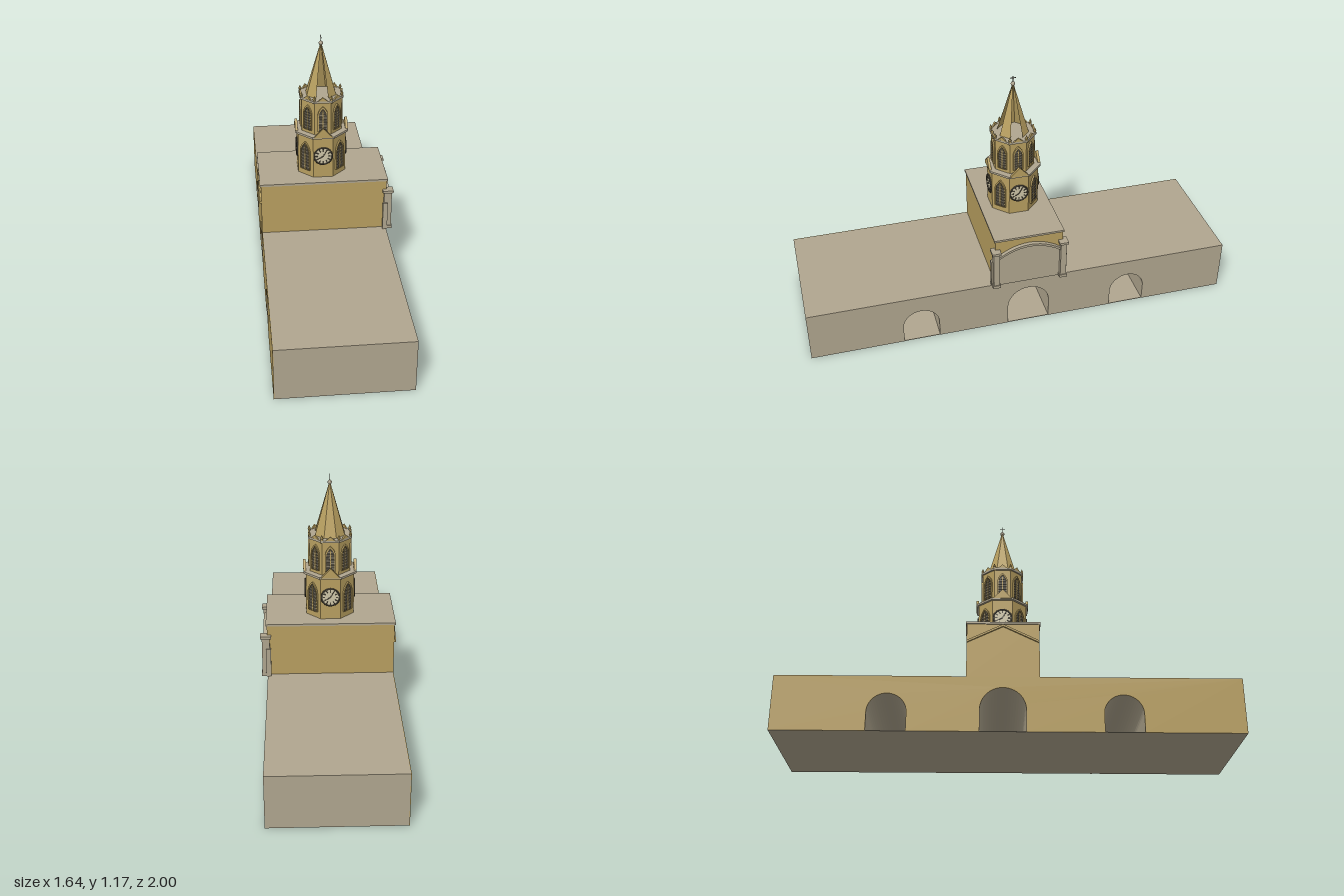
import * as THREE from 'three';

const mat = (name, color, side = THREE.FrontSide) => {
  const m = new THREE.MeshStandardMaterial({ color, side, flatShading: true });
  m.name = name;
  return m;
};

export function createModel() {
  const stone = mat('stone', 0xb0a68f);
  const ochre = mat('ochre', 0xb89f60, THREE.DoubleSide);
  const dark = mat('darkOpening', 0x4d473a);
  const slat = mat('louvreGrey', 0x857d6b);
  const pale = mat('dialPale', 0xcfc6a8);

  const root = new THREE.Group();
  root.name = 'clockTowerBuilding';
  const building = new THREE.Group();
  building.name = 'building';
  building.rotation.y = THREE.MathUtils.degToRad(55);
  root.add(building);

  const add = (parent, name, geo, material, x = 0, y = 0, z = 0) => {
    const m = new THREE.Mesh(geo, material);
    m.name = name;
    m.position.set(x, y, z);
    parent.add(m);
    return m;
  };
  const box = (w, h, d) => new THREE.BoxGeometry(w, h, d);
  const extrude = (shape, depth) =>
    new THREE.ExtrudeGeometry(shape, { depth, bevelEnabled: false, curveSegments: 12 });
  const poly = (pts) => new THREE.Shape(pts.map(([x, y]) => new THREE.Vector2(x, y)));

  // Long base with three arched passages
  const L = 1.0125, W = 0.294, H = 0.25, CX = 0.026;
  const wall = new THREE.Shape();
  wall.moveTo(-L, 0);
  for (const [x, r, spring] of [[-0.492, 0.085, 0.085], [CX, 0.1, 0.1], [0.522, 0.085, 0.085]]) {
    wall.lineTo(x - r, 0);
    wall.lineTo(x - r, spring);
    wall.absarc(x, spring, r, Math.PI, 0, true);
    wall.lineTo(x + r, 0);
  }
  wall.lineTo(L, 0);
  wall.lineTo(L, H);
  wall.lineTo(-L, H);
  wall.closePath();
  add(building, 'base', extrude(wall, 2 * W - 0.003), stone, 0, 0, -W + 0.003);
  add(building, 'baseBackWall', extrude(wall, 0.003), ochre, 0, 0, -W);
  add(building, 'baseFloor', box(2 * L - 0.002, 0.003, 2 * W - 0.002), stone, 0, 0.0015, 0);

  // Middle block with a flat roof slab
  const BW = 0.32;
  add(building, 'middleBlock', box(BW, 0.25, 2 * W), ochre, CX, 0.375, 0);
  add(building, 'roofSlab', box(BW + 0.01, 0.01, 2 * W + 0.01), stone, CX, 0.505, 0);

  // Front panel with a curved top and moulding
  const hw = 0.145;
  const panel = new THREE.Shape();
  panel.moveTo(-hw, 0.25);
  panel.lineTo(hw, 0.25);
  panel.lineTo(hw, 0.41);
  panel.quadraticCurveTo(0, 0.51, -hw, 0.41);
  panel.closePath();
  add(building, 'frontPanel', extrude(panel, 0.006), stone, CX, 0, W);
  const moulding = new THREE.Shape();
  moulding.moveTo(-hw, 0.408);
  moulding.quadraticCurveTo(0, 0.508, hw, 0.408);
  moulding.lineTo(hw, 0.42);
  moulding.quadraticCurveTo(0, 0.52, -hw, 0.42);
  moulding.closePath();
  add(building, 'frontArchMoulding', extrude(moulding, 0.018), stone, CX, 0, W);
  for (const s of [-1, 1]) {
    const x = CX + s * 0.16;
    add(building, 'pilaster', box(0.028, 0.195, 0.036), stone, x, 0.3475, W + 0.006);
    add(building, 'pilasterCap', box(0.042, 0.012, 0.05), stone, x, 0.449, W + 0.006);
    add(building, 'pilasterBase', box(0.036, 0.015, 0.044), stone, x, 0.2575, W + 0.006);
    add(building, 'sidePilaster', box(0.014, 0.14, 0.022), stone, x + s * 0.014, 0.32, W - 0.006);
  }

  // Back gable moulding
  const rake = poly([[-BW / 2, 0.41], [0, 0.488], [BW / 2, 0.41], [BW / 2, 0.42], [0, 0.498], [-BW / 2, 0.42]]);
  add(building, 'backGableMoulding', extrude(rake, 0.008), ochre, CX, 0, -W - 0.008);

  // Octagonal tower: flats face the building's own axes
  const tower = new THREE.Group();
  tower.name = 'tower';
  tower.position.set(CX, 0, 0);
  building.add(tower);
  const oct = (name, r, y0, y1, material) =>
    add(tower, name, new THREE.CylinderGeometry(r, r, y1 - y0, 8, 1, false, Math.PI / 8), material, 0, (y0 + y1) / 2, 0);
  const face = (i, apothem, name) => {
    const turn = new THREE.Group();
    turn.name = name;
    turn.rotation.y = i * Math.PI / 4;
    tower.add(turn);
    const g = new THREE.Group();
    g.name = name + 'Face';
    g.position.z = apothem;
    turn.add(g);
    return g;
  };
  oct('lowerStage', 0.12, 0.51, 0.715, ochre);
  oct('lowerCornice', 0.131, 0.712, 0.722, stone);
  oct('upperStage', 0.1, 0.722, 0.885, ochre);
  oct('upperCornice', 0.108, 0.882, 0.892, stone);

  // Pointed louvred window
  const lancet = (w, h) => {
    const s = new THREE.Shape();
    s.moveTo(-w, 0);
    s.lineTo(w, 0);
    s.lineTo(w, h * 0.65);
    s.quadraticCurveTo(w * 0.9, h * 0.86, 0, h);
    s.quadraticCurveTo(-w * 0.9, h * 0.86, -w, h * 0.65);
    s.closePath();
    return s;
  };
  const louvredWindow = (g, w, h, y) => {
    add(g, 'windowOpening', extrude(lancet(w, h), 0.002), dark, 0, y, 0);
    const frame = lancet(w + 0.005, h + 0.009);
    frame.holes.push(lancet(w, h));
    add(g, 'windowFrame', extrude(frame, 0.007), ochre, 0, y, 0);
    add(g, 'windowMullion', box(0.004, h * 0.9, 0.005), ochre, 0, y + h * 0.45, 0.003);
    for (let k = 1; k < 8; k++) {
      const t = k / 8.5;
      const half = t < 0.65 ? w : w * (1 - (t - 0.65) / 0.4);
      add(g, 'louvre', box(half * 1.9, 0.004, 0.005), slat, 0, y + h * t, 0.0025);
    }
  };

  // Clock with ring, ticks and hands
  const clock = (g, y) => {
    const disc = add(g, 'clockDial', new THREE.CylinderGeometry(0.04, 0.04, 0.004, 24), pale, 0, y, 0.002);
    disc.rotation.x = Math.PI / 2;
    add(g, 'clockRing', new THREE.TorusGeometry(0.042, 0.004, 6, 24), dark, 0, y, 0.003);
    for (let k = 0; k < 12; k++) {
      const a = k * Math.PI / 6;
      const t = add(g, 'clockTick', box(0.005, 0.013, 0.002), dark, Math.sin(a) * 0.031, y + Math.cos(a) * 0.031, 0.005);
      t.rotation.z = -a;
    }
    for (const [a, len] of [[0.5, 0.03], [-2.1, 0.022]]) {
      const hand = add(g, 'clockHand', box(0.005, len, 0.002), dark, Math.sin(a) * len / 2, y + Math.cos(a) * len / 2, 0.006);
      hand.rotation.z = -a;
    }
  };

  const AL = 0.12 * Math.cos(Math.PI / 8), AU = 0.1 * Math.cos(Math.PI / 8);
  for (let i = 0; i < 8; i++) {
    // Lower stage: clocks under gables alternate with windows
    const low = face(i, AL, i % 2 ? 'lowerWindow' : 'clock');
    if (i % 2) louvredWindow(low, 0.024, 0.135, 0.54);
    else {
      clock(low, 0.62);
      add(low, 'clockGable', extrude(poly([[-0.044, 0.718], [0.044, 0.718], [0, 0.765]]), 0.012), ochre, 0, 0, 0);
    }
    // Upper stage: a window and small gable on every side
    const up = face(i, AU, 'upperWindow');
    louvredWindow(up, 0.019, 0.115, 0.74);
    add(up, 'smallGable', extrude(poly([[-0.028, 0.886], [0.028, 0.886], [0, 0.91]]), 0.007), ochre);
    // Corner pinnacles
    const a = (i + 0.5) * Math.PI / 4;
    const px = Math.sin(a) * 0.101, pz = Math.cos(a) * 0.101;
    add(tower, 'pinnacleShaft', box(0.01, 0.02, 0.01), ochre, px, 0.89, pz);
    add(tower, 'pinnacleTip', new THREE.ConeGeometry(0.008, 0.018, 4), ochre, px, 0.909, pz);
  }

  // Spire, open on two sides
  const deg = Math.PI / 180;
  for (const [start, n] of [[22.5, 5], [292.5, 1]]) {
    add(tower, 'spire', new THREE.CylinderGeometry(0.004, 0.074, 0.24, n, 1, true, start * deg, n * 45 * deg), ochre, 0, 1.01, 0);
  }

  // Finial ball and cross
  add(tower, 'finialBall', new THREE.SphereGeometry(0.01, 12, 8), stone, 0, 1.136, 0);
  add(tower, 'crossUpright', box(0.003, 0.034, 0.003), dark, 0, 1.157, 0);
  add(tower, 'crossArm', box(0.026, 0.003, 0.003), dark, 0, 1.164, 0);

  return root;
}
